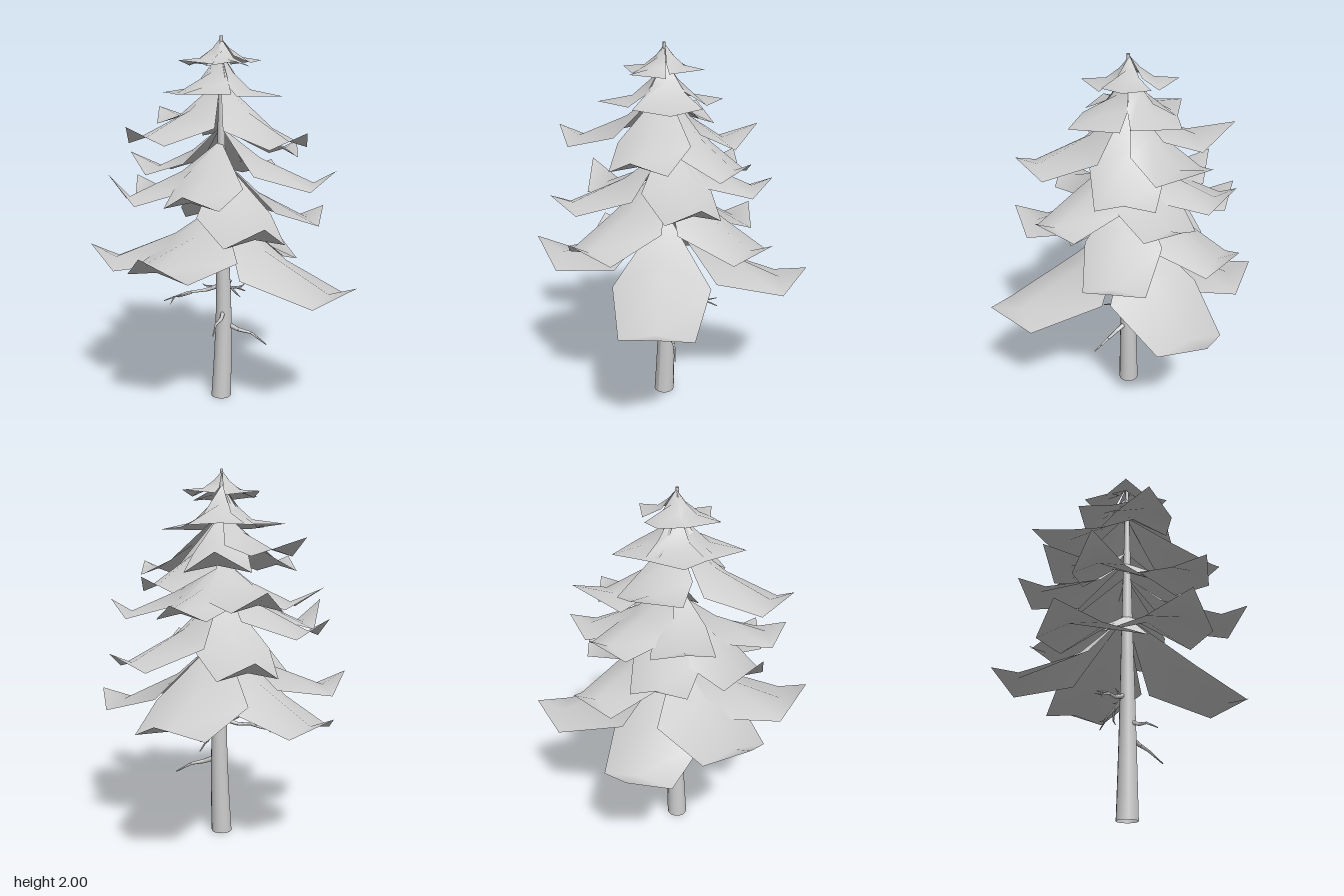
import * as THREE from 'three';

const bark = new THREE.MeshStandardMaterial({ color: 0xcccccc, side: THREE.DoubleSide });
bark.name = 'pale grey';

// Sideways lean of the trunk at a height.
const lean = (y) => 0.015 * Math.sin(Math.min(y, 1) * Math.PI);

// One bough: a folded leaf sheet that droops from the trunk and lifts at its tip.
// azimuth runs from +x towards +z in degrees; midWidth is the inner width against the outer one.
function bough({ rootY, halfWidth, shoulder, midWidth }, [azimuth, reach, tipY, lift = 0.09]) {
  const a = THREE.MathUtils.degToRad(azimuth);
  const low = tipY - lift;
  const midY = THREE.MathUtils.lerp(rootY, low, 0.58);
  const pos = [];
  const put = (out, side, y) => pos.push(
    out * Math.cos(a) - side * Math.sin(a), y, 0.005 + out * Math.sin(a) + side * Math.cos(a));
  const midW = halfWidth * midWidth;
  const endR = reach * shoulder;
  const midR = endR * 0.43;
  const fold = 0.06 * midW / 0.19;
  put(0, 0, rootY);
  put(midR, -midW, midY - fold);
  put(midR, 0, midY + 0.025);
  put(midR, midW, midY - fold);
  put(endR, -halfWidth, low);
  put(endR, 0, low + 0.035);
  put(endR, halfWidth, low);
  put(reach, 0, tipY);
  const geo = new THREE.BufferGeometry();
  geo.setAttribute('position', new THREE.Float32BufferAttribute(pos, 3));
  geo.setIndex([
    0, 2, 1, 0, 3, 2,
    1, 2, 5, 1, 5, 4, 2, 3, 6, 2, 6, 5,
    4, 5, 7, 5, 6, 7,
  ]);
  geo.computeVertexNormals();
  const mesh = new THREE.Mesh(geo, bark);
  mesh.name = 'bough';
  return mesh;
}

// A bare twig of tapering round segments through the given points.
function twig(points, radius) {
  const group = new THREE.Group();
  group.name = 'twig';
  const n = points.length - 1;
  for (let i = 0; i < n; i++) {
    const p = new THREE.Vector3(...points[i]);
    const dir = new THREE.Vector3(...points[i + 1]).sub(p);
    const r0 = radius * (1 - 0.8 * i / n);
    const r1 = radius * (1 - 0.8 * (i + 1) / n);
    const seg = new THREE.Mesh(new THREE.CylinderGeometry(r1, r0, dir.length(), 6), bark);
    seg.name = 'twigSegment';
    seg.position.copy(p).addScaledVector(dir, 0.5);
    seg.quaternion.setFromUnitVectors(new THREE.Vector3(0, 1, 0), dir.normalize());
    group.add(seg);
  }
  return group;
}

// Tiers from the ground up; each bough is [azimuth, reach, tip height, tip lift].
const tiers = [
  { name: 'lowestBoughs', rootY: 1.12, halfWidth: 0.185, shoulder: 0.81, midWidth: 1.4, boughs: [
    [-36, 0.79, 0.78], [57, 0.8, 0.76], [147, 0.71, 0.95, 0.13], [201, 0.71, 0.9, 0.11], [251, 0.71, 0.75]] },
  { name: 'lowBoughs', rootY: 1.37, halfWidth: 0.155, shoulder: 0.81, midWidth: 1.3, boughs: [
    [0, 0.66, 1.06], [97, 0.67, 1.1, 0.11], [287, 0.62, 1.05, 0.1]] },
  { name: 'lowerMiddleBoughs', rootY: 1.46, halfWidth: 0.14, shoulder: 0.81, midWidth: 1.3, boughs: [
    [189, 0.61, 1.3, 0.16], [241, 0.62, 1.23, 0.1], [131, 0.61, 1.24, 0.08]] },
  { name: 'middleBoughs', rootY: 1.53, halfWidth: 0.14, shoulder: 0.81, midWidth: 1.3, boughs: [
    [38, 0.62, 1.31, 0.1], [-33, 0.57, 1.31, 0.08], [279, 0.56, 1.37, 0.1]] },
  { name: 'backMiddleBough', rootY: 1.53, halfWidth: 0.16, shoulder: 0.68, midWidth: 0.85, boughs: [
    [226, 0.55, 1.38, 0.11]] },
  { name: 'upperBoughs', rootY: 1.78, halfWidth: 0.145, shoulder: 0.81, midWidth: 1.3, boughs: [
    [162, 0.61, 1.55], [69, 0.58, 1.52, 0.08], [-5, 0.5, 1.44, 0.08]] },
  { name: 'backUpperBoughs', rootY: 1.78, halfWidth: 0.17, shoulder: 0.62, midWidth: 0.85, boughs: [
    [-55, 0.53, 1.56, 0.1], [253, 0.55, 1.63, 0.09]] },
  { name: 'highBoughs', rootY: 1.92, halfWidth: 0.175, shoulder: 0.48, midWidth: 0.55, boughs: [
    [-57, 0.33, 1.7, 0], [225, 0.34, 1.71, 0.01], [148, 0.35, 1.7, 0], [49, 0.35, 1.69, 0]] },
  { name: 'topBoughs', rootY: 1.99, halfWidth: 0.12, shoulder: 0.48, midWidth: 0.45, boughs: [
    [0, 0.24, 1.88, 0.02], [251, 0.25, 1.87, 0.02], [173, 0.25, 1.87, 0.02], [97, 0.25, 1.86, 0.02]] },
];

export function createModel() {
  const model = new THREE.Group();
  model.name = 'firTree';

  // Tapered, gently bent trunk, open at the base.
  const trunkGeo = new THREE.CylinderGeometry(0.008, 0.057, 2, 14, 16, true);
  trunkGeo.translate(0, 1, 0);
  const p = trunkGeo.attributes.position;
  for (let i = 0; i < p.count; i++) {
    const y = p.getY(i);
    p.setX(i, p.getX(i) + lean(y));
    p.setZ(i, p.getZ(i) + 0.012);
  }
  trunkGeo.computeVertexNormals();
  const trunk = new THREE.Mesh(trunkGeo, bark);
  trunk.name = 'trunk';
  model.add(trunk);

  // Bare twigs below the foliage.
  const twigs = new THREE.Group();
  twigs.name = 'bareTwigs';
  twigs.add(
    twig([[0.01, 0.51, 0.02], [-0.03, 0.48, 0.08], [-0.08, 0.47, 0.12], [-0.125, 0.43, 0.18]], 0.014),
    twig([[0.03, 0.43, 0.02], [0.08, 0.4, 0.07], [0.14, 0.385, 0.11], [0.2, 0.33, 0.18]], 0.016),
    // Forked twig on the right
    twig([[0, 0.65, 0], [-0.07, 0.62, -0.04], [-0.17, 0.61, -0.07], [-0.3, 0.57, -0.1]], 0.014),
    twig([[-0.15, 0.61, -0.06], [-0.21, 0.585, -0.09], [-0.24, 0.58, -0.12]], 0.008),
    twig([[-0.24, 0.59, -0.09], [-0.27, 0.55, -0.08]], 0.006),
    twig([[-0.03, 0.64, -0.02], [-0.08, 0.65, -0.03], [-0.09, 0.66, -0.04]], 0.007),
    // Forked twig on the left
    twig([[0.02, 0.65, 0], [0.08, 0.61, -0.06], [0.15, 0.59, -0.11], [0.24, 0.54, -0.17]], 0.014),
    twig([[0.1, 0.605, -0.07], [0.14, 0.56, -0.08], [0.16, 0.54, -0.07]], 0.008),
    twig([[0.15, 0.59, -0.11], [0.2, 0.58, -0.14], [0.24, 0.59, -0.17]], 0.008),
    twig([[0.06, 0.625, -0.04], [0.09, 0.64, -0.06], [0.11, 0.645, -0.08]], 0.007),
  );
  model.add(twigs);

  // Tiers of boughs.
  for (const tier of tiers) {
    const group = new THREE.Group();
    group.name = tier.name;
    for (const b of tier.boughs) group.add(bough(tier, b));
    model.add(group);
  }
  return model;
}
